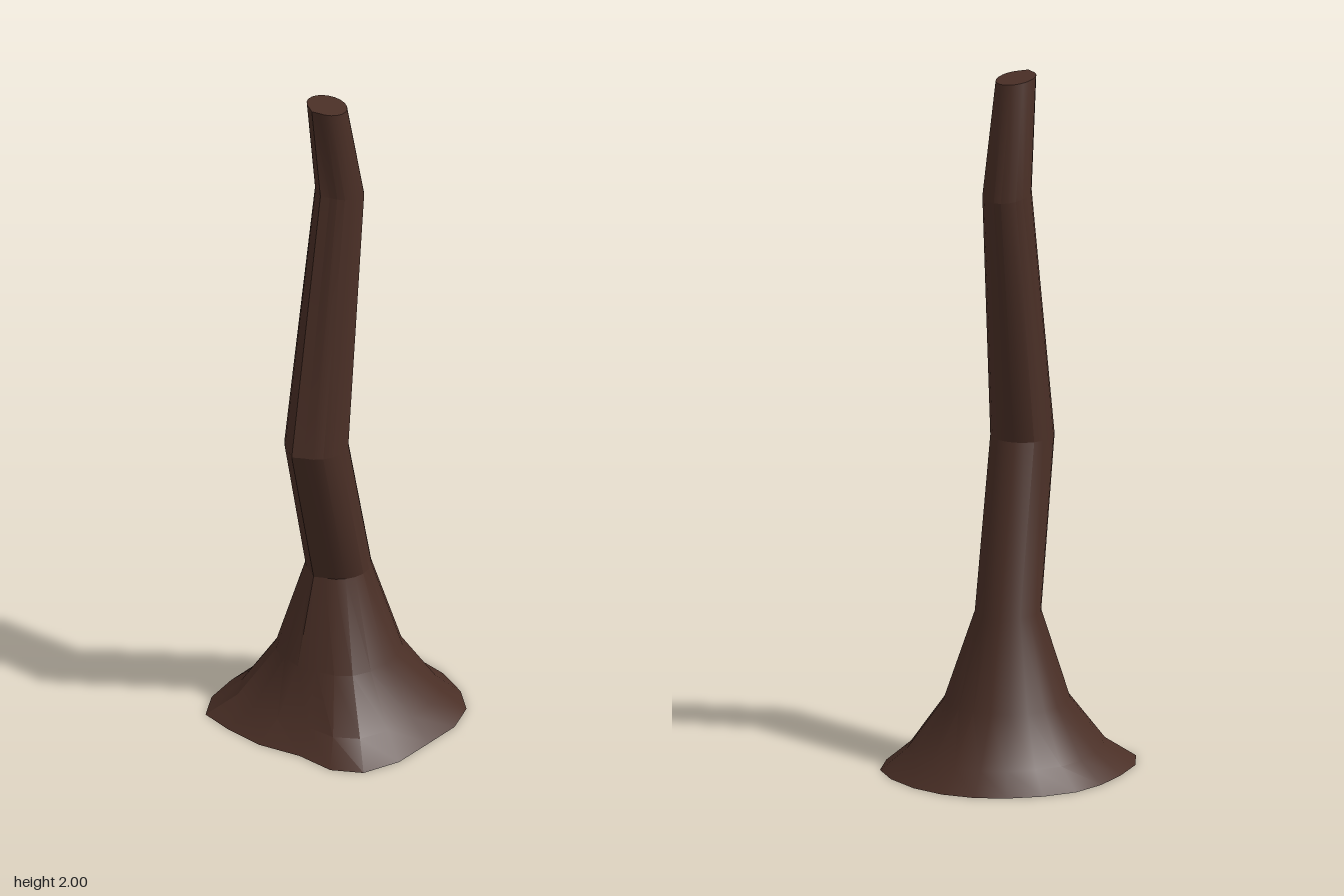
import * as THREE from 'three';
import { toCreasedNormals } from 'three/addons/utils/BufferGeometryUtils.js';

const SIDES = 20;

// Irregular foot outline [x, z], from the back round through +x
const foot = [
  [0, -0.32], [0.10, -0.31], [0.20, -0.27], [0.275, -0.21], [0.315, -0.115],
  [0.32, 0], [0.325, 0.13], [0.29, 0.24], [0.21, 0.29], [0.095, 0.29],
  [-0.03, 0.32], [-0.15, 0.315], [-0.25, 0.297], [-0.30, 0.215], [-0.32, 0.11],
  [-0.325, 0], [-0.305, -0.10], [-0.25, -0.185], [-0.175, -0.255], [-0.095, -0.30],
];

// Trunk rings: centre, radius, share of the foot outline, front ridge, tilts
const rings = [
  { x: 0, y: 0, z: 0, r: 0.32, flare: 1, ridge: 0 },
  { x: 0, y: 0.06, z: 0, r: 0.255, flare: 0.8, ridge: 0 },
  { x: -0.005, y: 0.2, z: 0.005, r: 0.17, flare: 0.4, ridge: 0.03 },
  { x: -0.013, y: 0.46, z: 0.004, r: 0.093, flare: 0, ridge: 0.13 },
  { x: 0.03, y: 0.93, z: 0.146, r: 0.09, flare: 0, ridge: 0.15 },
  { x: -0.01, y: 1.675, z: 0.003, r: 0.069, flare: 0, ridge: 0.17, tiltZ: 0.2 },
  { x: 0.005, y: 1.99, z: 0.073, r: 0.057, flare: 0, ridge: 0.12, tiltX: -0.1, tiltZ: 0.13 },
];

function ringPoint({ x, y, z, r, flare, ridge, tiltX = 0, tiltZ = 0 }, k) {
  const a = (k / SIDES) * Math.PI * 2;
  const reach = r * (k === SIDES / 2 ? 1 + ridge : 1);
  const scale = r / 0.32;
  const dx = THREE.MathUtils.lerp(Math.sin(a) * reach, foot[k][0] * scale, flare);
  const dz = THREE.MathUtils.lerp(-Math.cos(a) * reach, foot[k][1] * scale, flare);
  return [x + dx, y + dx * tiltX + dz * tiltZ, z + dz];
}

function trunkGeometry() {
  const positions = [];
  const index = [];
  for (const ring of rings) {
    for (let k = 0; k < SIDES; k++) positions.push(...ringPoint(ring, k));
  }
  const last = rings.length - 1;
  const bottom = rings.length * SIDES;
  const top = bottom + 1;
  positions.push(0, 0, 0, rings[last].x, rings[last].y, rings[last].z);

  for (let k = 0; k < SIDES; k++) {
    const n = (k + 1) % SIDES;
    // Bark wall
    for (let i = 0; i < last; i++) {
      const a = i * SIDES + k, b = i * SIDES + n;
      const c = a + SIDES, d = b + SIDES;
      index.push(a, c, d, a, d, b);
    }
    // End caps
    index.push(bottom, k, n);
    index.push(top, last * SIDES + n, last * SIDES + k);
  }

  const geometry = new THREE.BufferGeometry();
  geometry.setAttribute('position', new THREE.Float32BufferAttribute(positions, 3));
  geometry.setIndex(index);
  return toCreasedNormals(geometry, 0.42);
}

export function createModel() {
  const bark = new THREE.MeshStandardMaterial({ color: 0x4a2f26 });
  bark.name = 'dark brown bark';

  const trunk = new THREE.Mesh(trunkGeometry(), bark);
  trunk.name = 'trunk';

  const group = new THREE.Group();
  group.name = 'bareTreeTrunk';
  group.add(trunk);
  return group;
}
